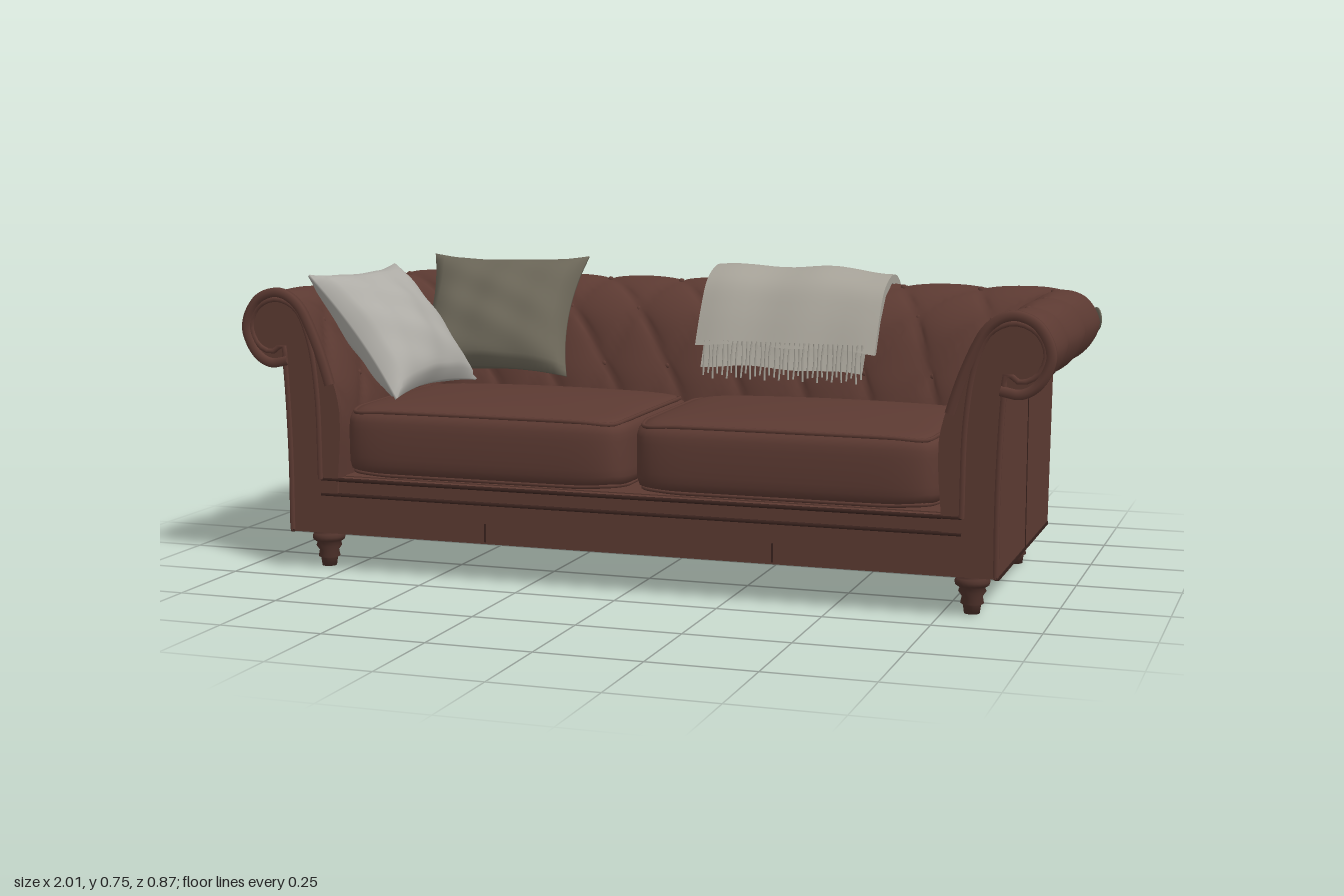
import * as THREE from 'three';
import { mergeVertices, toCreasedNormals } from 'three/addons/utils/BufferGeometryUtils.js';
import { ParametricGeometry } from 'three/addons/geometries/ParametricGeometry.js';

const V3 = (x, y, z) => new THREE.Vector3(x, y, z);
const V2 = (p) => new THREE.Vector2(p[0], p[1]);
const material = (name, color) => new THREE.MeshStandardMaterial({ name, color, side: THREE.DoubleSide });

// Upholstery cross-section, inner seat edge to under the roll: arm x, height, back depth
const profile = new THREE.CatmullRomCurve3([
  V3(0.755, 0.2, 0.09), V3(0.745, 0.4, 0.1), V3(0.77, 0.5, 0.13), V3(0.81, 0.6, 0.17),
  V3(0.85, 0.665, 0.23), V3(0.91, 0.692, 0.31), V3(0.97, 0.668, 0.37), V3(1, 0.605, 0.4),
  V3(0.975, 0.545, 0.378), V3(0.93, 0.518, 0.335), V3(0.88, 0.525, 0.305),
]);
const ARM = 3, BACK = 9, TOTAL = ARM * 2 + BACK; // tuft counts along the U
const FRONT = 0.42;
const ROW_A = 4.8, ROW_STEP = 1.5;               // button rows in profile steps

// Point on the tufted U: s counts tufts, i counts profile steps
function tuftPoint(s, i, target) {
  const p = profile.getPoint(i / 10), t = profile.getTangent(i / 10);
  const w = Math.max(0, (ROW_A - i) / ROW_STEP);
  const sines = Math.abs(Math.sin(Math.PI * (s + w / 2)) * Math.sin(Math.PI * (s - w / 2)));
  const fade = THREE.MathUtils.smoothstep(i, 0.3, 1.3) * (1 - THREE.MathUtils.smoothstep(i, 9, 10));
  const depth = (w > 0 ? 0.026 : 0.018) * fade * (1 - Math.pow(sines, 0.25));
  const X = p.x + t.y * depth, y = p.y - t.x * depth, Z = p.z + t.y * depth;
  const r = 0.02 + 0.08 * THREE.MathUtils.smoothstep(i, 3.5, 7);
  const side = s <= TOTAL / 2 ? -1 : 1, m = side < 0 ? s : TOTAL - s;
  const e = m < ARM ? -(ARM - m) / ARM * (FRONT + Z) : (m - ARM) / (BACK / 2) * X;
  if (Math.abs(e) < r) {
    const a = (e / r + 1) * Math.PI / 4;
    return target.set(side * (X - r + r * Math.cos(a)), y, -(Z - r) - r * Math.sin(a));
  }
  return e < 0 ? target.set(side * X, y, -Z - e) : target.set(side * (X - e), y, -Z);
}

// Extrude a (z, y) outline along x
function extrudeX(points, x0, x1, steps = 1) {
  const g = new THREE.ExtrudeGeometry(new THREE.Shape(points.map(V2)), { depth: x1 - x0, steps, bevelEnabled: false });
  return g.rotateY(-Math.PI / 2).translate(x1, 0, 0);
}

// Move every vertex of a subdivided 2x2x2 box by a rule, with smooth normals
function shapedBox(nx, ny, nz, rule) {
  let g = new THREE.BoxGeometry(2, 2, 2, nx, ny, nz);
  const pos = g.attributes.position, v = V3(0, 0, 0);
  for (let i = 0; i < pos.count; i++) {
    rule(v.fromBufferAttribute(pos, i));
    pos.setXYZ(i, v.x, v.y, v.z);
  }
  g.deleteAttribute('uv');
  g.deleteAttribute('normal');
  g = mergeVertices(g, 1e-5);
  g.computeVertexNormals();
  return g;
}

// Crowned seat cushion with softly rounded edges
function cushionRule(v) {
  const k = 9, n = Math.pow(Math.abs(v.x) ** k + Math.abs(v.y) ** k + Math.abs(v.z) ** k, 1 / k);
  v.divideScalar(n);
  const crown = 1 + 0.22 * (1 - v.x * v.x) * (1 - v.z * v.z);
  const bulge = 1 + 0.025 * (1 - v.y * v.y);
  return v.set(v.x * 0.369, v.y * 0.088 * (v.y > 0 ? crown : 1), v.z * 0.272 * bulge);
}

// Scatter pillow with pinched edges, pointed corners and soft wrinkles
function pillowRule(w, h, t) {
  return (v) => {
    const { x, y } = v, ex = 1 - x * x, ey = 1 - y * y;
    const puff = Math.pow(Math.max(0, ex * ey), 0.45);
    const wrinkle = 1 + 0.08 * Math.sin(7 * x + 4 * y) * Math.sin(5 * y - 2 * x);
    v.set(w * x * (1 - 0.12 * ey), h * y * (1 - 0.12 * ex), v.z * (t * puff * wrinkle + 0.003));
  };
}

export function createModel() {
  const model = new THREE.Group();
  model.name = 'tuftedSofa';
  const leather = material('brownLeather', 0x5c3a32);
  const seam = material('darkSeam', 0x38221d);
  const wood = material('legWood', 0x4f322b);
  const wool = material('greyThrow', 0xa6a298);
  const lightCloth = material('lightPillow', 0xaeaca6);
  const darkCloth = material('olivePillow', 0x6a6557);

  const add = (name, geometry, mat, parent = model) => {
    const mesh = new THREE.Mesh(geometry, mat);
    mesh.name = name;
    parent.add(mesh);
    return mesh;
  };
  const box = (name, x, y, z, w, h, d, mat = leather) =>
    add(name, new THREE.BoxGeometry(w, h, d).translate(x, y, z), mat);
  const tube = (name, pts, r, mat, closed = false, parent = model) =>
    add(name, new THREE.TubeGeometry(new THREE.CatmullRomCurve3(pts, closed), pts.length * 5, r, 6, closed), mat, parent);

  // Tufted arms and back in one sweep
  const tufting = new ParametricGeometry((u, v, target) => tuftPoint(u * TOTAL, v * 10, target), TOTAL * 14, 56);
  tufting.computeVertexNormals();
  add('tuftedArmsAndBack', tufting, leather);

  // Buttons at the diamond corners
  const buttons = new THREE.Group();
  buttons.name = 'buttons';
  model.add(buttons);
  const buttonShape = new THREE.SphereGeometry(0.009, 8, 6);
  for (let row = 0; row < 3; row++) {
    for (let s = row % 2 ? 0.5 : 1; s < TOTAL; s++) {
      tuftPoint(s, ROW_A - row * ROW_STEP, add('button', buttonShape, leather, buttons).position);
    }
  }

  // Outer shell: side panels and sloping back panel
  const sideOutline = [[FRONT, 0.095], [FRONT, 0.53], [-0.31, 0.53], [-0.273, 0.095]];
  for (const s of [-1, 1]) {
    add('sidePanel', extrudeX(sideOutline, s * 0.875 - 0.01, s * 0.875 + 0.01), leather);
    box('sideSeam', s * 0.885, 0.3, 0.065, 0.003, 0.4, 0.004, seam);
    box('sideBottomPiping', s * 0.882, 0.097, 0.075, 0.01, 0.008, 0.69, seam);
  }
  add('backPanel', extrudeX([[-0.273, 0.095], [-0.31, 0.53], [-0.29, 0.53], [-0.253, 0.095]], -0.88, 0.88), leather);
  for (const x of [-0.36, 0.36]) {
    for (let k = 0; k < 12; k++) {
      const y = 0.13 + k * 0.032;
      add('backStud', new THREE.SphereGeometry(0.004, 6, 4).translate(x, y, -0.273 - (y - 0.095) * 0.085), seam);
    }
    box('frontRailSeam', x, 0.122, 0.421, 0.004, 0.045, 0.003, seam);
  }

  // Front rail, ledge and the open underframe
  box('frontRail', 0, 0.1425, 0.41, 1.76, 0.095, 0.02);
  box('seatLedge', 0, 0.21, 0.395, 1.6, 0.045, 0.035);
  for (const y of [0.192, 0.23]) {
    tube('ledgePiping', [V3(-0.8, y, 0.417), V3(0, y, 0.417), V3(0.8, y, 0.417)], 0.005, seam);
  }
  box('seatBackRail', 0, 0.215, -0.17, 1.74, 0.04, 0.2);
  box('seatFrontRail', 0, 0.215, 0.32, 1.74, 0.04, 0.13);
  for (const x of [-0.79, 0, 0.79]) box('seatCrossRail', x, 0.215, 0.09, 0.17, 0.04, 0.36);
  for (const z of [0.24, 0.3]) box('underBeam', 0, 0.15, z, 1.74, 0.04, 0.025, seam);

  // Scrolled arm fronts with piping
  const scroll = [[0.8, 0.23], [0.805, 0.45], [0.825, 0.58], [0.858, 0.65], [0.91, 0.672], [0.96, 0.652],
    [0.981, 0.605], [0.962, 0.558], [0.925, 0.542], [0.895, 0.56], [0.888, 0.5], [0.88, 0.3], [0.88, 0.1]];
  const cap = profile.getPoints(40).map((p) => [p.x, p.y]).concat([[0.885, 0.52], [0.885, 0.1], [0.755, 0.1]]);
  for (const s of [-1, 1]) {
    const shape = new THREE.Shape(cap.map((p) => V2([s * p[0], p[1]])));
    const front = new THREE.ExtrudeGeometry(shape, { depth: 0.012, bevelEnabled: false });
    add('armFront', toCreasedNormals(front.translate(0, 0, FRONT - 0.012), 0.6), leather);
    tube('armFrontPiping', scroll.map((p) => V3(s * p[0], p[1], FRONT)), 0.007, leather);
    const rim = profile.getPoints(24).slice(4).map((p) => V3(s * (p.x - (p.x - 0.9) * 0.07), p.y - 0.003, FRONT));
    tube('armRollRim', rim, 0.013, leather);
  }

  // Seat cushions with piped edges
  for (const s of [-1, 1]) {
    const cushion = new THREE.Group();
    cushion.name = 'seatCushion';
    cushion.position.set(s * 0.376, 0.325, 0.152);
    model.add(cushion);
    add('cushionBody', shapedBox(28, 10, 24, cushionRule), leather, cushion);
    for (const y of [-0.92, 0.92]) {
      const loop = [];
      for (let k = 0; k < 40; k++) {
        const a = k / 40 * Math.PI * 2, c = Math.cos(a), d = Math.sin(a);
        const m = Math.max(Math.abs(c), Math.abs(d));
        loop.push(cushionRule(V3(c / m, y, d / m)));
      }
      tube('cushionPiping', loop, 0.005, leather, true, cushion);
    }
  }

  // Turned legs
  const legProfile = [[0, 0], [0.018, 0], [0.021, 0.02], [0.027, 0.024], [0.024, 0.04], [0.032, 0.052], [0.029, 0.06],
    [0.039, 0.067], [0.041, 0.075], [0.038, 0.083], [0.029, 0.087], [0.034, 0.1], [0, 0.1]].map(V2);
  for (const x of [-0.815, 0.815]) {
    for (const z of [0.355, -0.215]) add('leg', new THREE.LatheGeometry(legProfile, 20).translate(x, 0, z), wood);
  }

  // Folded throw draped over the back, in two layers with a fringe
  const drape = (name, outer, inner, x0, x1) => {
    const curve = new THREE.SplineCurve(outer.map(V2)).getPoints(32).map((p) => [p.x, p.y]);
    const g = extrudeX(curve.concat(inner), x0, x1, 16), pos = g.attributes.position;
    for (let i = 0; i < pos.count; i++) {
      const x = pos.getX(i), y = pos.getY(i);
      const ripple = 0.004 * Math.sin(x * 24 + y * 9) - 0.012 * Math.max(0, (x - 0.3) / 0.18);
      pos.setXYZ(i, x, y + ripple, pos.getZ(i) + 0.004 * Math.sin(x * 31));
    }
    add(name, toCreasedNormals(g, 0.8), wool);
  };
  drape('throwUnderLayer',
    [[-0.09, 0.485], [-0.112, 0.53], [-0.15, 0.62], [-0.2, 0.685], [-0.28, 0.716], [-0.35, 0.705], [-0.403, 0.655], [-0.424, 0.58], [-0.426, 0.45]],
    [[-0.39, 0.455], [-0.395, 0.6], [-0.36, 0.65], [-0.28, 0.67], [-0.2, 0.64], [-0.15, 0.55], [-0.11, 0.485]], 0.02, 0.44);
  drape('throwTopLayer',
    [[-0.092, 0.54], [-0.138, 0.625], [-0.193, 0.695], [-0.28, 0.727], [-0.355, 0.715], [-0.411, 0.66], [-0.433, 0.58], [-0.434, 0.475]],
    [[-0.418, 0.475], [-0.418, 0.58], [-0.396, 0.65], [-0.345, 0.695], [-0.28, 0.708], [-0.21, 0.68], [-0.155, 0.62], [-0.11, 0.54]], 0.004, 0.474);
  for (let k = 0; k < 34; k++) {
    const x = 0.03 + k * 0.0125, low = 0.462 + 0.008 * Math.sin(k * 2.3);
    tube('fringe', [V3(x, 0.55, -0.096), V3(x + 0.003 * Math.sin(k * 1.7), 0.51, -0.088), V3(x, low, -0.08)], 0.0025, wool);
  }

  // Scatter pillows, each leaning along its normal
  const pillow = (name, w, h, t, center, normal, mat) => {
    const z = normal.normalize(), x = V3(0, 1, 0).cross(z).normalize(), y = z.clone().cross(x);
    const mesh = add(name, shapedBox(26, 26, 1, pillowRule(w, h, t)), mat);
    mesh.quaternion.setFromRotationMatrix(new THREE.Matrix4().makeBasis(x, y, z));
    mesh.position.copy(center);
  };
  pillow('lightPillow', 0.205, 0.19, 0.075, V3(-0.705, 0.582, 0.185), V3(0.77, 0.63, 0.06), lightCloth);
  pillow('olivePillow', 0.215, 0.18, 0.07, V3(-0.535, 0.6, -0.09), V3(0.06, 0.58, 0.8), darkCloth);

  // Worn patch on the left rear corner of the roll
  const patch = add('cornerPatch', new THREE.SphereGeometry(0.03, 16, 10).scale(0.2, 1, 1), darkCloth);
  patch.position.set(0.984, 0.61, -0.352);
  patch.rotation.y = 0.55;
  return model;
}
